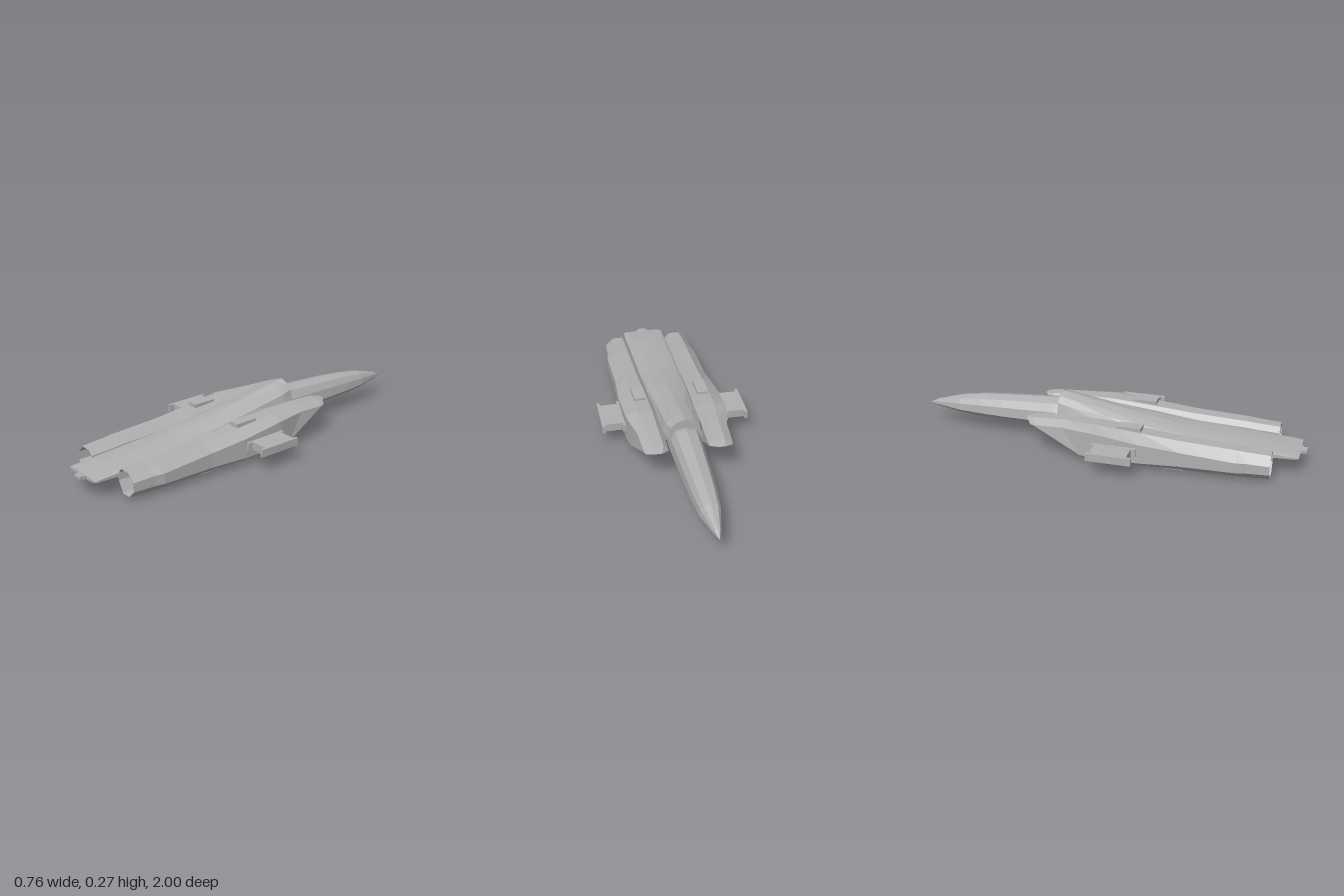
import * as THREE from 'three';

const hull = new THREE.MeshStandardMaterial({ color: 0xb0b0b0, flatShading: true });
hull.name = 'hullGrey';

// Skin a list of rings (each anticlockwise seen from the tail), closed at both ends
function loft(name, rings) {
  const pos = [], n = rings[0].length;
  const tri = (...p) => p.forEach(v => pos.push(...v));
  for (let i = 0; i < rings.length - 1; i++) {
    for (let j = 0; j < n; j++) {
      const k = (j + 1) % n;
      const a = rings[i][j], b = rings[i][k], c = rings[i + 1][k], d = rings[i + 1][j];
      tri(a, b, c);
      tri(a, c, d);
    }
  }
  const first = rings[0], last = rings[rings.length - 1];
  const c0 = centre(first), c1 = centre(last);
  for (let j = 0; j < n; j++) {
    const k = (j + 1) % n;
    tri(c0, first[k], first[j]);
    tri(c1, last[j], last[k]);
  }
  const geo = new THREE.BufferGeometry();
  geo.setAttribute('position', new THREE.Float32BufferAttribute(pos, 3));
  geo.computeVertexNormals();
  const mesh = new THREE.Mesh(geo, hull);
  mesh.name = name;
  return mesh;
}

const centre = r => [0, 1, 2].map(a => r.reduce((s, p) => s + p[a], 0) / r.length);

// Scale a ring about its centre, then slide it along z
function inset(ring, s, dz) {
  const c = centre(ring);
  return ring.map(p => p.map((v, a) => c[a] + (v - c[a]) * s + (a === 2 ? dz : 0)));
}

// Complete a right-hand half outline (bottom to top) into a symmetrical ring
function symmetric(half, z) {
  const right = half.map(([x, y]) => [x, y, z]);
  const left = right.slice(1, -1).reverse().map(([x, y]) => [-x, y, z]);
  return [...right, ...left];
}

function box(name, x0, x1, y0, y1, z0, z1) {
  const mesh = new THREE.Mesh(new THREE.BoxGeometry(x1 - x0, y1 - y0, z1 - z0), hull);
  mesh.position.set((x0 + x1) / 2, (y0 + y1) / 2, (z0 + z1) / 2);
  mesh.name = name;
  return mesh;
}

// Nose: z, half width, top, bottom, height of widest line
const noseStations = [
  [-1, 0.003, 0.117, 0.11, 0.113], [-0.96, 0.018, 0.138, 0.098, 0.114],
  [-0.82, 0.052, 0.178, 0.08, 0.112], [-0.7, 0.063, 0.197, 0.074, 0.112],
  [-0.58, 0.07, 0.208, 0.072, 0.112], [-0.29, 0.08, 0.228, 0.072, 0.115],
  [-0.1, 0.08, 0.2, 0.056, 0.112], [0.05, 0.08, 0.17, 0.042, 0.1],
  [0.4, 0.07, 0.13, 0.062, 0.09], [0.6, 0.05, 0.11, 0.072, 0.085],
];
const noseRing = ([z, w, t, b, m]) => symmetric([
  [0, b], [w * 0.6, b + (m - b) * 0.3], [w, m],
  [w * 0.93, m + (t - m) * 0.5], [w * 0.65, m + (t - m) * 0.86], [0, t],
], z);

// Spine: z, half width, top, shoulder height, bottom
const spineStations = [
  [-0.265, 0.085, 0.27, 0.18, 0.13], [-0.2, 0.1, 0.261, 0.17, 0.1],
  [0, 0.105, 0.222, 0.155, 0.075], [0.2, 0.115, 0.188, 0.145, 0.07],
  [0.43, 0.115, 0.152, 0.13, 0.07], [0.84, 0.112, 0.12, 0.108, 0.072],
  [0.95, 0.11, 0.107, 0.102, 0.084], [0.97, 0.105, 0.105, 0.1, 0.087],
];
const spineRing = ([z, w, t, s, b]) => symmetric([
  [0, b], [w * 0.7, b], [w, (b + s) / 2], [w, s],
  [w * 0.85, s + (t - s) * 0.55], [w * 0.5, s + (t - s) * 0.84], [0, t],
], z);

// Engine: z, inner x, outer x, top, bottom, outer bevel width and height, lower bevel
const engineStations = [
  [-0.4, 0.115, 0.2, 0.18, 0.006, 0.03, 0.02, 0.035],
  [-0.35, 0.1, 0.22, 0.188, 0.006, 0.04, 0.025, 0.035],
  [-0.2, 0.1, 0.227, 0.196, 0.006, 0.045, 0.025, 0.035],
  [-0.03, 0.1, 0.26, 0.196, 0.006, 0.06, 0.022, 0.035],
  [0.2, 0.103, 0.262, 0.18, 0.004, 0.06, 0.035, 0.04],
  [0.4, 0.107, 0.247, 0.163, 0.005, 0.05, 0.04, 0.042],
  [0.68, 0.11, 0.248, 0.15, 0.01, 0.05, 0.045, 0.042],
  [0.73, 0.11, 0.238, 0.146, 0.012, 0.042, 0.042, 0.04],
  [0.845, 0.112, 0.232, 0.14, 0.014, 0.04, 0.04, 0.04],
];

function engineOutline(z) {
  let i = 0;
  while (i < engineStations.length - 2 && engineStations[i + 1][0] < z) i++;
  const a = engineStations[i], b = engineStations[i + 1];
  const f = Math.min(1, Math.max(0, (z - a[0]) / (b[0] - a[0])));
  const [, xi, xo, t, bt, cx, cy, c] = a.map((v, k) => v + (b[k] - v) * f);
  return [
    [xo, bt + c], [xo, t - cy], [xo - cx, t], [xi + 0.025, t],
    [xi, t - 0.025], [xi, bt + c * 1.5], [xi + c * 0.8, bt], [xo - cx, bt],
  ];
}

// The intake is raked: points never lie ahead of the sloping mouth
const mouthZ = y => Math.max(-0.4, -0.02 - (y - 0.005) * 2.24);
function engineRing(z) {
  return engineOutline(z).map(([, y], j) => {
    const zz = Math.max(z, mouthZ(y));
    return [...engineOutline(zz)[j], zz];
  });
}

function engine(side) {
  const zs = [-0.4, -0.35, -0.2, -0.03, 0.08, 0.2, 0.4, 0.55, 0.68, 0.73, 0.845];
  const rings = zs.map(engineRing);
  const mouth = rings[0], tail = rings[rings.length - 1];
  // Hollow intake and exhaust
  rings.unshift(inset(mouth, 0.9, 0.05), inset(mouth, 0.9, 0));
  rings.push(inset(tail, 0.95, 0), inset(tail, 0.85, -0.09));
  const placed = side > 0 ? rings
    : rings.map(r => r.map(([x, y, z]) => [-x, y, z]).reverse());
  return loft(side > 0 ? 'leftEngine' : 'rightEngine', placed);
}

// Side fittings listed for +x and mirrored
const fittings = [
  ['topFairing', 0.137, 0.195, 0.15, 0.2, 0.08, 0.2],
  ['bellyPlate', 0.14, 0.195, 0, 0.02, 0.31, 0.42],
  ['wingRootFlange', 0.255, 0.275, 0.085, 0.125, -0.035, 0.195],
  ['wingStubTop', 0.27, 0.365, 0.11, 0.125, -0.015, 0.17],
  ['wingStubFront', 0.27, 0.365, 0.085, 0.112, -0.015, 0],
  ['wingStubRear', 0.27, 0.365, 0.085, 0.112, 0.155, 0.17],
  ['wingTipFlange', 0.363, 0.378, 0.085, 0.125, -0.035, 0.195],
];

export function createModel() {
  const model = new THREE.Group();
  model.name = 'aircraft';
  model.add(loft('nose', noseStations.map(noseRing)));
  model.add(loft('spine', spineStations.map(spineRing)));
  // Tail stub
  model.add(box('tailStub', -0.03, 0.03, 0.087, 0.104, 0.95, 0.98));
  model.add(box('tailTip', -0.022, 0.022, 0.088, 0.102, 0.97, 1));
  for (const side of [1, -1]) {
    model.add(engine(side));
    for (const [name, x0, x1, ...rest] of fittings) {
      model.add(side > 0 ? box(name, x0, x1, ...rest) : box(name, -x1, -x0, ...rest));
    }
  }
  return model;
}
